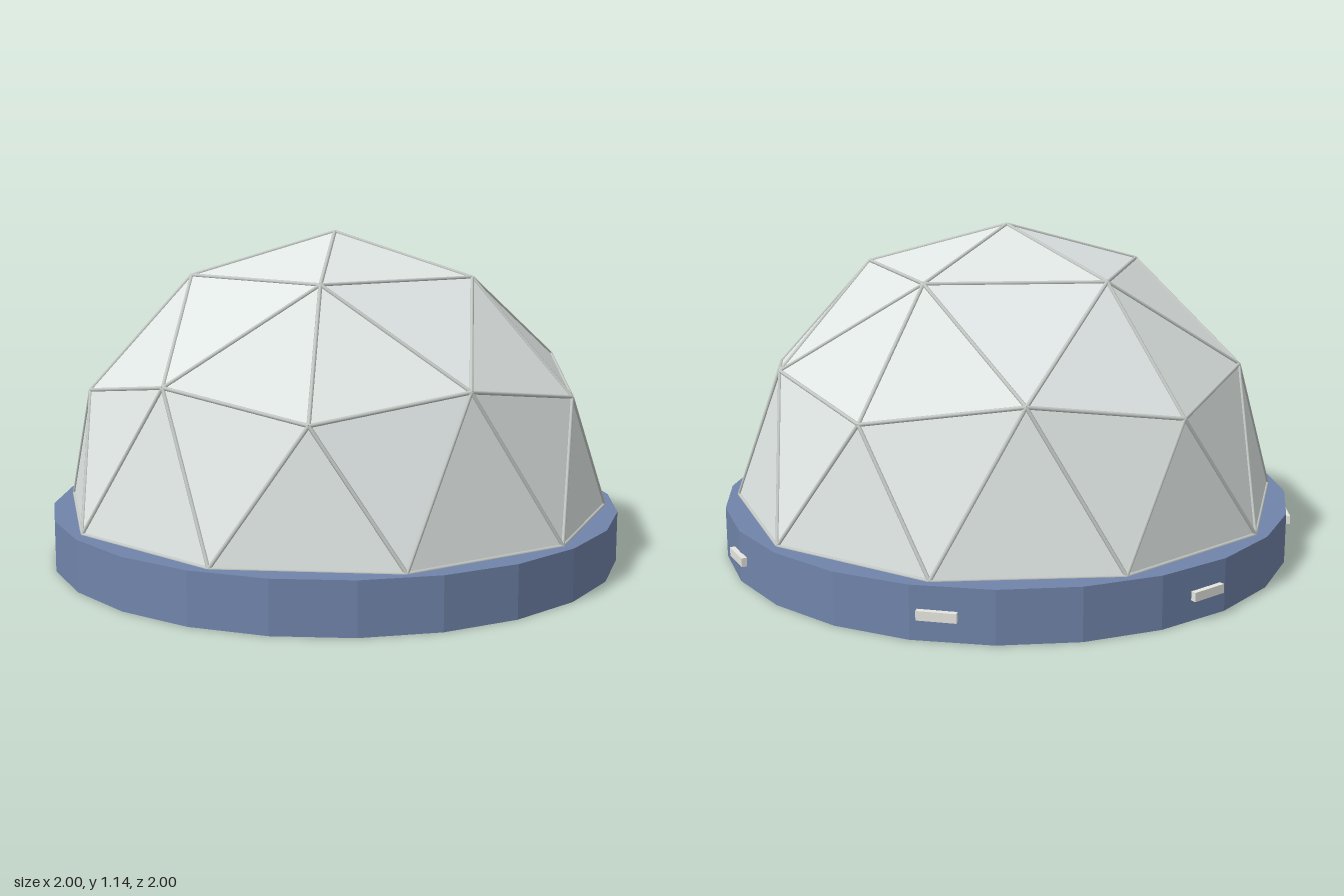
import * as THREE from 'three';

const BASE_H = 0.175, R = 0.958, STRUT_R = 0.0065, TAU = Math.PI * 2;

const mat = (name, color, flatShading = false) => {
  const m = new THREE.MeshStandardMaterial({ color, flatShading });
  m.name = name;
  return m;
};

// point on the dome sphere: polar angle from the apex, compass angle in degrees
function domePoint(polar, deg) {
  const a = THREE.MathUtils.degToRad(deg);
  const r = R * Math.sin(polar);
  return new THREE.Vector3(r * Math.cos(a), BASE_H + R * Math.cos(polar), -r * Math.sin(a));
}

// two-frequency half icosahedron: 8 triangles in each of 5 sectors
function domeTriangles() {
  const vertexPolar = Math.atan(2);
  const upper = vertexPolar / 2, middle = Math.PI / 2 - upper;
  const tris = [];
  for (let k = 0; k < 5; k++) {
    const d = 72 * k;
    const T = domePoint(0, 0);
    const A = domePoint(upper, d), A2 = domePoint(upper, d + 72);
    const B = domePoint(vertexPolar, d), B2 = domePoint(vertexPolar, d + 72);
    const M = domePoint(middle, d + 36);
    const E = domePoint(Math.PI / 2, d - 18), F = domePoint(Math.PI / 2, d + 18);
    const E2 = domePoint(Math.PI / 2, d + 54);
    tris.push([T, A, A2], [A, M, A2], [A, B, M], [A2, M, B2],
      [B, E, F], [B, F, M], [M, F, E2], [M, E2, B2]);
  }
  return tris;
}

export function createModel() {
  const model = new THREE.Group();
  const baseMat = mat('slate blue', 0x7084aa, true);
  const panelMat = mat('pale grey panel', 0xdfe6e4, true);
  const strutMat = mat('light grey strut', 0xc4c9c5);
  const ventMat = mat('off white vent', 0xe6e6e0);

  // 24-sided foundation
  const base = new THREE.Mesh(new THREE.CylinderGeometry(1, 1, BASE_H, 24), baseMat);
  base.name = 'foundation';
  base.position.y = BASE_H / 2;
  model.add(base);

  // faceted dome skin
  const tris = domeTriangles();
  const skin = new THREE.BufferGeometry().setFromPoints(tris.flat());
  skin.computeVertexNormals();
  const panels = new THREE.Mesh(skin, panelMat);
  panels.name = 'domePanels';
  model.add(panels);

  // one round strut along every shared edge
  const struts = new THREE.Group();
  struts.name = 'struts';
  const seen = new Set();
  const key = (p) => p.toArray().map((v) => Math.round(v * 1000) + 0).join(',');
  for (const t of tris) {
    for (let i = 0; i < 3; i++) {
      const a = t[i], b = t[(i + 1) % 3];
      const id = [key(a), key(b)].sort().join('|');
      if (seen.has(id)) continue;
      seen.add(id);
      const dir = b.clone().sub(a);
      const strut = new THREE.Mesh(
        new THREE.CylinderGeometry(STRUT_R, STRUT_R, dir.length(), 8), strutMat);
      strut.name = 'strut';
      strut.position.copy(a).add(b).multiplyScalar(0.5);
      strut.quaternion.setFromUnitVectors(new THREE.Vector3(0, 1, 0), dir.normalize());
      struts.add(strut);
    }
  }
  model.add(struts);

  // four small vents around the foundation wall
  for (const deg of [-30, 20, 70, 120]) {
    const a = (deg / 360) * TAU;
    const vent = new THREE.Mesh(new THREE.BoxGeometry(0.018, 0.03, 0.125), ventMat);
    vent.name = 'vent';
    vent.position.set(1.006 * Math.cos(a), 0.0865, -1.006 * Math.sin(a));
    vent.rotation.y = a;
    model.add(vent);
  }
  return model;
}
